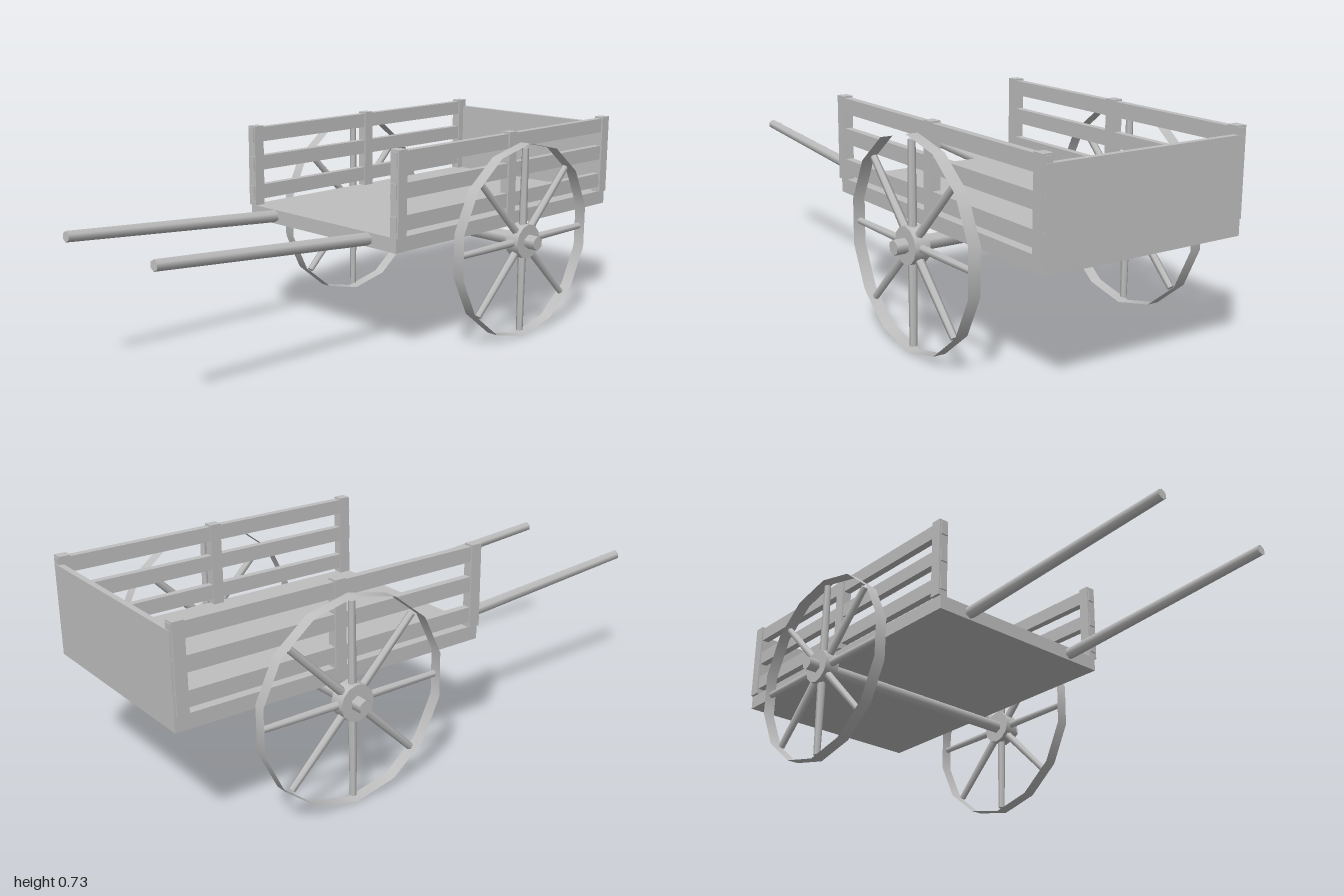
import * as THREE from 'three';

export function createModel() {
  const cart = new THREE.Group();
  cart.name = 'handCart';
  const wood = new THREE.MeshStandardMaterial({ color: 0xbfbfbf });
  wood.name = 'plain grey';
  wood.side = THREE.DoubleSide;

  const add = (parent, name, geometry, x = 0, y = 0, z = 0) => {
    const mesh = new THREE.Mesh(geometry, wood);
    mesh.name = name;
    mesh.position.set(x, y, z);
    parent.add(mesh);
    return mesh;
  };
  // box given by its centre x, width and its y and z ranges
  const box = (parent, name, x, w, y0, y1, z0, z1) =>
    add(parent, name, new THREE.BoxGeometry(w, y1 - y0, z1 - z0), x, (y0 + y1) / 2, (z0 + z1) / 2);
  // cylinder lying along x, with a corner pointing up
  const barrel = (r, length, sides, open = false) =>
    new THREE.CylinderGeometry(r, r, length, sides, 1, open).rotateY(Math.PI / 2).rotateZ(Math.PI / 2);

  const axleY = 0.347, axleZ = -0.42;

  // bed and tailboard
  box(cart, 'bed', 0, 0.736, 0.388, 0.438, -1, 0.155);
  box(cart, 'tailboard', 0, 0.736, 0.438, 0.7, -1, -0.98);

  // axle
  add(cart, 'axle', barrel(0.0255, 1, 6), 0, axleY, axleZ);

  for (const side of [1, -1]) {
    // slatted side: three posts and three rails
    const fence = new THREE.Group();
    fence.name = side > 0 ? 'leftFence' : 'rightFence';
    cart.add(fence);
    for (const z of [0.135, -0.42, -0.975])
      box(fence, 'post', side * 0.36, 0.036, 0.438, 0.727, z - 0.02, z + 0.02);
    for (const y of [0.484, 0.591, 0.695])
      box(fence, 'rail', side * 0.359, 0.026, y - 0.026, y + 0.026, -0.998, 0.16);

    // wheel: thin rim, hub and eight spokes
    const wheel = new THREE.Group();
    wheel.name = side > 0 ? 'leftWheel' : 'rightWheel';
    wheel.position.set(side * 0.432, axleY, axleZ);
    cart.add(wheel);
    add(wheel, 'rim', barrel(0.347, 0.043, 14, true));
    add(wheel, 'hub', barrel(0.062, 0.054, 12));
    for (let i = 0; i < 8; i++) {
      const spoke = new THREE.CylinderGeometry(0.012, 0.015, 0.295, 6).translate(0, 0.1825, 0);
      add(wheel, 'spoke', spoke).rotation.x = (i * Math.PI) / 4;
    }

    // tapered pulling shaft, rising towards the front
    const from = new THREE.Vector3(side * 0.238, 0.414, 0.14);
    const to = new THREE.Vector3(side * 0.238, 0.48, 0.998);
    const shaft = new THREE.CylinderGeometry(0.0185, 0.0225, from.distanceTo(to), 6).rotateX(Math.PI / 2);
    const mid = from.clone().add(to).multiplyScalar(0.5);
    add(cart, side > 0 ? 'leftShaft' : 'rightShaft', shaft, mid.x, mid.y, mid.z).lookAt(to);
  }
  return cart;
}
